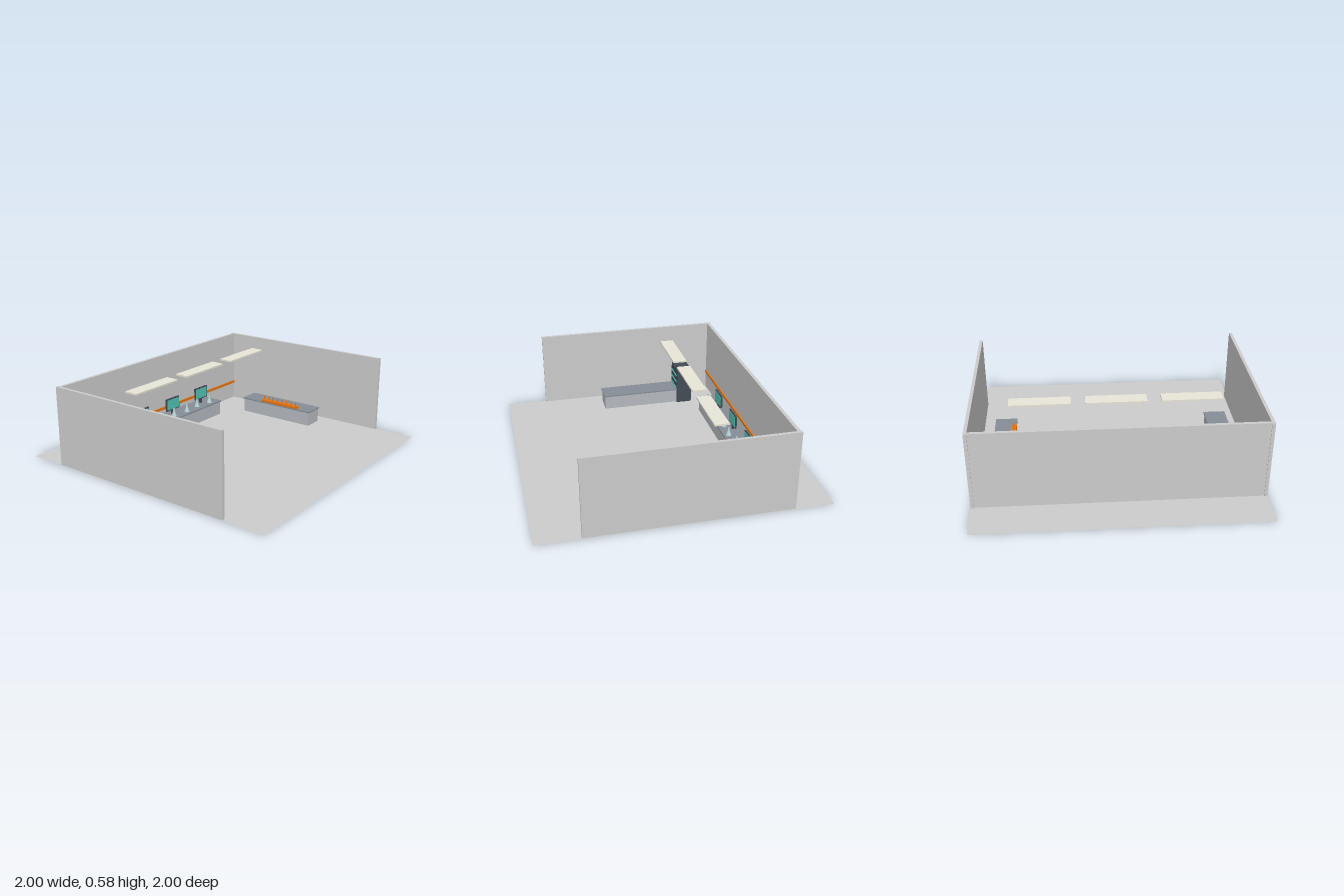
import * as THREE from 'three';

const mat = (color) => new THREE.MeshStandardMaterial({ color });
const M = {
  grey: mat(0xcccccc), bench: mat(0xb4b9be), top: mat(0x868d96), dark: mat(0x444b54),
  teal: mat(0x4fc4b4), orange: mat(0xe8750f), light: mat(0xe8e5d6), glass: mat(0xb5d4d2),
};
M.floor = mat(0xcccccc);
M.floor.side = THREE.DoubleSide;
M.glass.side = THREE.DoubleSide;

// Box given by its min and max along each axis
function box(name, material, [x0, x1], [y0, y1], [z0, z1]) {
  const mesh = new THREE.Mesh(new THREE.BoxGeometry(x1 - x0, y1 - y0, z1 - z0), material);
  mesh.position.set((x0 + x1) / 2, (y0 + y1) / 2, (z0 + z1) / 2);
  mesh.name = name;
  return mesh;
}

// Bench with a slightly overhanging worktop
function bench(name, [x0, x1], [z0, z1]) {
  const g = new THREE.Group(), i = 0.007;
  g.name = name;
  g.add(box('benchBody', M.bench, [x0 + i, x1 - i], [0.003, 0.11], [z0 + i, z1 - i]));
  g.add(box('benchTop', M.top, [x0, x1], [0.11, 0.12], [z0, z1]));
  return g;
}

function monitor(x) {
  const g = new THREE.Group();
  g.name = 'monitor';
  g.add(box('monitorCase', M.dark, [-0.074, 0.074], [0.155, 0.252], [-0.605, -0.593]));
  g.add(box('monitorScreen', M.teal, [-0.065, 0.065], [0.165, 0.243], [-0.594, -0.589]));
  g.add(box('monitorStand', M.dark, [-0.01, 0.01], [0.12, 0.16], [-0.607, -0.594]));
  g.position.x = x;
  return g;
}

export function createModel() {
  const room = new THREE.Group();
  room.name = 'laboratory';

  // Floor and walls
  const floor = new THREE.Mesh(new THREE.PlaneGeometry(2, 2).rotateX(-Math.PI / 2), M.floor);
  floor.name = 'floor';
  room.add(floor);
  room.add(box('backWall', M.grey, [-0.99, 0.99], [0.003, 0.575], [-0.719, -0.695]));
  for (const s of [-1, 1]) {
    const xs = s < 0 ? [-1, -0.977] : [0.977, 1];
    room.add(box(s < 0 ? 'rightWall' : 'leftWall', M.grey, xs, [0.003, 0.576], [-0.725, 0.695]));
  }
  room.add(box('wallStripe', M.orange, [-0.975, 0.975], [0.136, 0.156], [-0.696, -0.686]));

  // Benches
  room.add(bench('backBench', [-0.543, 0.541], [-0.66, -0.5]));
  room.add(bench('rightBench', [-0.882, -0.72], [-0.4, 0.24]));
  room.add(bench('leftBench', [0.717, 0.879], [-0.4, 0.24]));

  // Monitors and ceiling lights
  for (const x of [-0.305, 0.045, 0.395]) room.add(monitor(x));
  for (const x of [-0.525, 0, 0.523]) {
    room.add(box('ceilingLight', M.light, [x - 0.213, x + 0.213], [0.54, 0.552], [-0.33, -0.228]));
  }

  // Conical flasks along the back bench
  const profile = [[0, 0], [0.022, 0], [0.021, 0.006], [0.007, 0.046], [0.007, 0.067]]
    .map(([r, y]) => new THREE.Vector2(r, y));
  const flaskGeometry = new THREE.LatheGeometry(profile, 20);
  [-0.548, -0.558, -0.537, -0.545, -0.535, -0.55, -0.537].forEach((z, i) => {
    const flask = new THREE.Mesh(flaskGeometry, M.glass);
    flask.name = 'flask';
    flask.position.set((i - 3) * 0.1435, 0.12, z);
    room.add(flask);
  });

  // Cabinet with glowing shelf strips
  const cabinet = new THREE.Group();
  cabinet.name = 'cabinet';
  cabinet.add(box('cabinetBody', M.dark, [-0.895, -0.711], [0.003, 0.288], [-0.488, -0.368]));
  for (const y of [0.128, 0.182, 0.236]) {
    cabinet.add(box('shelfStrip', M.teal, [-0.877, -0.729], [y - 0.006, y + 0.006], [-0.37, -0.362]));
  }
  room.add(cabinet);

  // Tube rack on the left bench
  const rack = new THREE.Group();
  rack.name = 'tubeRack';
  rack.add(box('rackBase', M.orange, [0.716, 0.754], [0.12, 0.138], [-0.217, 0.122]));
  const tubeGeometry = new THREE.CylinderGeometry(0.004, 0.004, 0.04, 10);
  for (let i = 0; i < 8; i++) {
    const tube = new THREE.Mesh(tubeGeometry, M.orange);
    tube.name = 'tube';
    tube.position.set(0.735, 0.148, -0.0475 + (i - 3.5) * 0.043);
    rack.add(tube);
  }
  room.add(rack);

  return room;
}
